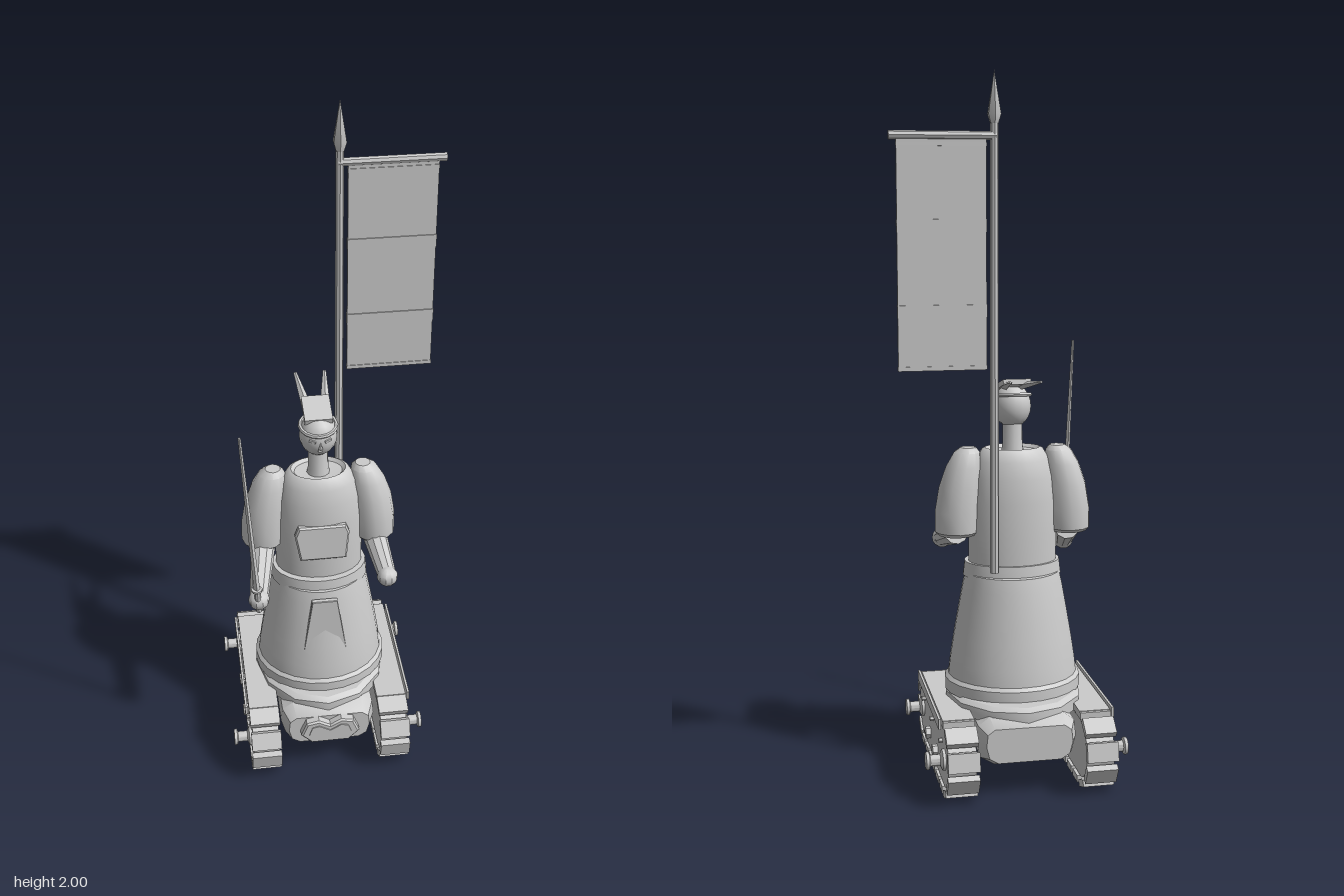
import * as THREE from 'three';
import { toCreasedNormals } from 'three/addons/utils/BufferGeometryUtils.js';

const V = (x, y, z) => new THREE.Vector3(x, y, z);

export function createModel() {
  const grey = new THREE.MeshStandardMaterial({ color: 0xcccccc });
  grey.name = 'plain grey';
  const model = new THREE.Group();
  model.name = 'bannerFigureOnTracks';
  // everything except the flag is symmetric about x = -0.038
  const body = new THREE.Group();
  body.name = 'figure';
  body.position.x = -0.038;
  model.add(body);

  function add(name, geo, x = 0, y = 0, z = 0, parent = body) {
    const m = new THREE.Mesh(toCreasedNormals(geo, 0.6), grey);
    m.name = name;
    m.position.set(x, y, z);
    parent.add(m);
    return m;
  }
  const box = (w, h, d) => new THREE.BoxGeometry(w, h, d);
  const lathe = (pts, n = 12) => new THREE.LatheGeometry(pts.map(p => new THREE.Vector2(p[0], p[1])), n);
  const polygon = pts => new THREE.Shape(pts.map(p => new THREE.Vector2(p[0], p[1])));
  const plate = (pts, depth, bevel = 0.005) => new THREE.ExtrudeGeometry(polygon(pts), {
    depth, bevelEnabled: bevel > 0, bevelSize: bevel, bevelThickness: bevel, bevelSegments: 1,
  });
  // tapered round bar between two points
  function bar(name, a, b, ra, rb, n = 10, parent = body) {
    const d = b.clone().sub(a);
    const m = add(name, new THREE.CylinderGeometry(rb, ra, d.length(), n), 0, 0, 0, parent);
    m.position.copy(a).add(b).multiplyScalar(0.5);
    m.quaternion.setFromUnitVectors(V(0, 1, 0), d.normalize());
    return m;
  }

  // hull between the tracks, narrowed at both ends
  const half = [[0.09, 0.1], [0.115, 0.115], [0.124, 0.15], [0.12, 0.185], [0.1, 0.2]];
  const hull = half.concat(half.map(p => [-p[0], p[1]]).reverse());
  add('hull', new THREE.ExtrudeGeometry(polygon(hull), {
    depth: 0.4, bevelThickness: 0.05, bevelSize: 0.02, bevelSegments: 1,
  }), 0, 0, -0.2);
  add('hullBadge', plate([[-0.055, 0.12], [0.055, 0.12], [0.084, 0.15], [0.068, 0.19], [0.035, 0.197],
    [0, 0.177], [-0.035, 0.197], [-0.068, 0.19], [-0.084, 0.15]], 0.02), 0, 0, 0.25);
  add('hullBadgeCentre', plate([[-0.045, 0.128], [0.045, 0.128], [0.065, 0.15], [0.055, 0.18], [0.033, 0.185],
    [0, 0.165], [-0.033, 0.185], [-0.055, 0.18], [-0.065, 0.15]], 0.004, 0), 0, 0, 0.274);

  // tracks
  const L = 0.2, R = 0.1, CY = 0.11, PADS = 20;
  const loop = 4 * L + 2 * Math.PI * R;
  for (const s of [-1, 1]) {
    const track = new THREE.Group();
    track.name = s > 0 ? 'leftTrack' : 'rightTrack';
    track.position.x = s * 0.197;
    body.add(track);
    const side = new THREE.Shape();
    side.absarc(L, 0, 0.083, -Math.PI / 2, Math.PI / 2);
    side.absarc(-L, 0, 0.083, Math.PI / 2, Math.PI * 1.5);
    add('trackFrame', new THREE.ExtrudeGeometry(side, { depth: 0.08, bevelEnabled: false, curveSegments: 8 })
      .translate(0, 0, -0.04).rotateY(Math.PI / 2), 0, CY, 0, track);
    for (let i = 0; i < PADS; i++) {
      let d = ((i + 0.5) / PADS) * loop, z, y, a;
      const arc = Math.PI * R;
      if (d < 2 * L) { z = -L + d; y = -R; a = 0; }
      else if (d < 2 * L + arc) { a = (d - 2 * L) / R; z = L + R * Math.sin(a); y = -R * Math.cos(a); }
      else if (d < 4 * L + arc) { z = L - (d - 2 * L - arc); y = R; a = Math.PI; }
      else { a = Math.PI + (d - 4 * L - arc) / R; z = -L + R * Math.sin(a); y = -R * Math.cos(a); }
      add('trackPad', box(0.09, 0.02, 0.054), 0, CY + y, z, track).rotation.x = -a;
    }
    add('fender', box(0.09, 0.02, 0.42), 0, 0.212, 0, track);
    add('fenderLip', box(0.007, 0.03, 0.42), s * 0.053, 0.212, 0, track);
    // hubs, bolts and small rivets on the outer side
    for (const z of [-0.213, 0.213]) {
      add('wheelHub', lathe([[0, 0], [0.03, 0], [0.03, 0.008], [0.016, 0.014], [0.016, 0.042],
        [0.025, 0.045], [0.025, 0.054], [0, 0.054]]).rotateZ(-s * Math.PI / 2), s * 0.04, CY, z, track);
    }
    for (const z of [-0.07, 0.07]) {
      add('hexBolt', new THREE.CylinderGeometry(0.018, 0.018, 0.02, 6).rotateZ(Math.PI / 2), s * 0.045, 0.08, z, track);
    }
    for (const z of [-0.17, 0, 0.17]) {
      add('rivet', new THREE.CylinderGeometry(0.007, 0.007, 0.016, 6).rotateZ(Math.PI / 2), s * 0.043, 0.15, z, track);
    }
  }

  // robe, from plinth to collar
  add('plinth', lathe([[0, 0.2], [0.2, 0.2], [0.2, 0.235], [0.185, 0.245], [0, 0.245]])).scale.z = 1.17;
  add('skirt', lathe([[0, 0.24], [0.2, 0.24], [0.2, 0.275], [0.19, 0.285], [0.185, 0.33], [0.174, 0.4],
    [0.16, 0.48], [0.147, 0.55], [0.138, 0.59], [0, 0.59]], 24), 0, 0, 0.007).scale.z = 0.9;
  add('belt', lathe([[0, 0.58], [0.145, 0.58], [0.14, 0.622], [0, 0.622]], 24), 0, 0, 0.012).scale.z = 0.76;
  const torso = add('torso', lathe([[0, 0.61], [0.129, 0.61], [0.13, 0.7], [0.129, 0.8], [0.122, 0.87],
    [0.108, 0.92], [0.09, 0.95], [0.08, 0.955], [0.07, 0.945], [0, 0.94]], 24), 0, 0, 0.006);
  torso.scale.z = 0.72;
  add('chestPlate', plate([[-0.062, 0], [0.066, 0], [0.074, 0.085], [0.066, 0.105], [-0.066, 0.105],
    [-0.076, 0.08]], 0.012), 0, 0.7, 0.093).rotation.x = -0.06;
  add('apron', plate([[-0.036, 0.57], [0.036, 0.57], [0.064, 0.38], [0.034, 0.42], [-0.034, 0.42],
    [-0.064, 0.38]], 0.012, 0.002), 0, 0, 0.14);

  // arms
  const sleeve = [[0, 0], [0.055, 0], [0.064, 0.01], [0.066, 0.07], [0.062, 0.14], [0.052, 0.2],
    [0.038, 0.24], [0.022, 0.254], [0, 0.254]];
  for (const s of [-1, 1]) {
    const side = s > 0 ? 'left' : 'right';
    const geo = lathe(sleeve);
    // lean the narrow top in towards the neck
    const p = geo.attributes.position;
    for (let i = 0; i < p.count; i++) {
      p.setX(i, p.getX(i) - s * 0.034 * (p.getY(i) / 0.254) ** 2);
    }
    geo.computeVertexNormals();
    add(side + 'Sleeve', geo, s * 0.165, 0.705, 0);
    const hand = s > 0 ? V(0.183, 0.658, 0.162) : V(-0.197, 0.63, 0.185);
    bar(side + 'Forearm', V(s * 0.165, 0.71, 0.01), hand, 0.037, 0.027, 10);
    add(side + 'Hand', new THREE.SphereGeometry(0.031, 10, 8), hand.x, hand.y, hand.z);
  }

  // sword in the right hand
  const grip = V(-0.199, 0.6, 0.2), guard = V(-0.203, 0.68, 0.205), tip = V(-0.237, 1.235, 0.243);
  bar('swordGrip', grip, guard, 0.009, 0.009, 8);
  bar('swordGuard', guard, guard.clone().lerp(tip, 0.012), 0.016, 0.016, 8);
  bar('swordBlade', guard, tip, 0.009, 0.004, 4);

  // head
  add('neck', lathe([[0, 0.93], [0.036, 0.93], [0.03, 0.96], [0.028, 1.04], [0, 1.04]]), 0, 0, 0.005);
  add('head', new THREE.SphereGeometry(0.055, 16, 12), 0, 1.075, 0.01).scale.y = 1.16;
  add('nose', new THREE.ConeGeometry(0.007, 0.022, 5), 0, 1.07, 0.066);
  add('mouth', box(0.012, 0.006, 0.008), 0, 1.048, 0.057);
  for (const s of [-1, 1]) {
    add('eye', box(0.02, 0.007, 0.008), s * 0.022, 1.082, 0.059).rotation.set(0, s * 0.4, s * 0.2);
    // swept-back horns
    const horn = bar('horn', V(s * 0.022, 1.132, 0), V(s * 0.043, 1.166, -0.18), 0.017, 0.005, 4);
    horn.scale.z = 0.7;
  }
  add('headband', new THREE.TorusGeometry(0.052, 0.006, 6, 16).rotateX(Math.PI / 2 + 0.15), 0, 1.105, 0.01);
  add('hatPlate', box(0.08, 0.016, 0.095), 0, 1.14, -0.015).rotation.x = 0.26;

  // banner behind the left shoulder
  const banner = new THREE.Group();
  banner.name = 'banner';
  banner.position.set(0.041, 0, -0.132);
  model.add(banner);
  bar('pole', V(0, 0.62, 0), V(0, 1.88, 0), 0.013, 0.011, 8, banner);
  add('spearHead', lathe([[0, 1.86], [0.012, 1.86], [0.02, 1.885], [0, 2]], 6), 0, 0, 0, banner);
  bar('crossbar', V(-0.005, 1.828, 0), V(0.286, 1.828, 0), 0.012, 0.012, 8, banner);
  add('flag', box(0.244, 0.62, 0.01), 0.144, 1.508, 0, banner);
  for (const y of [1.36, 1.59]) add('flagBand', box(0.246, 0.034, 0.016), 0.144, y, 0, banner);
  for (const y of [1.205, 1.805]) add('flagHem', box(0.246, 0.01, 0.014), 0.144, y, 0, banner);

  return model;
}
